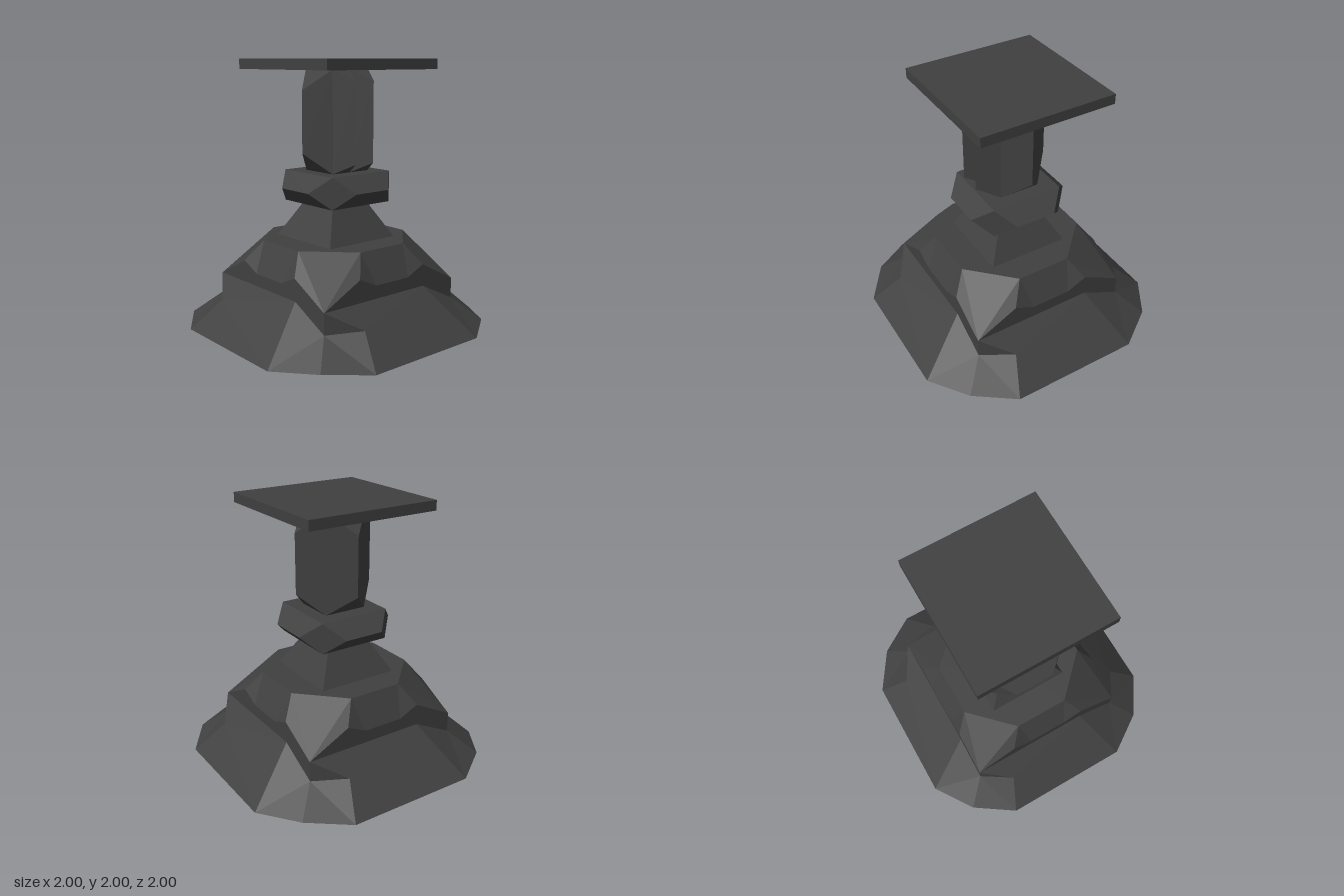
import * as THREE from 'three';
import { ConvexGeometry } from 'three/addons/geometries/ConvexGeometry.js';

const material = new THREE.MeshStandardMaterial({ color: 0x404040, flatShading: true });

// Faceted geometry from polygons, each a loop of [x, y, z] corners
function facets(polygons) {
  const pos = [];
  for (const p of polygons)
    for (let i = 1; i < p.length - 1; i++) pos.push(...p[0], ...p[i], ...p[i + 1]);
  const g = new THREE.BufferGeometry();
  g.setAttribute('position', new THREE.Float32BufferAttribute(pos, 3));
  g.computeVertexNormals();
  return g;
}

// Quarter turn about y, taking the front side to the +x side
const turn = ([x, y, z]) => [z, y, -x];

// Repeat the polygons of the front side on all four sides
function fourSides(polygons) {
  const all = [];
  for (let k = 0; k < 4; k++) {
    all.push(...polygons);
    polygons = polygons.map((p) => p.map(turn));
  }
  return all;
}

// Sloping foot with a chipped notch beside each corner
function footGeometry() {
  const topL = [-0.63, 0.345, 0.63], topR = [0.315, 0.345, 0.63];
  const lowL = [-0.63, 0.19, 0.63], lowR = turn(lowL);
  const chip = [-0.4, 0.21, 0.78], nextChip = turn(chip);
  const a = [-0.5, 0, 1], b = [0.5, 0, 1], c = [0.8, 0.02, 0.8], d = turn(a);
  const mid = [0, 0, 0];
  return facets(fourSides([
    [chip, a, b, topR, topL],
    [lowL, chip, topL],
    [topR, b, lowR],
    [b, c, lowR],
    [lowR, c, d, nextChip],
    [mid, b, a], [mid, c, b], [mid, d, c],
  ]));
}

// Square tier with broken upper corners and a shallow scoop in each side
function tierGeometry() {
  const w = 0.63, t = 0.665;
  const L = [-w, 0.345, w], R = [w, 0.345, w], L0 = [-w, 0.19, w], R0 = [w, 0.19, w];
  const a = [-0.31, 0.51, w], b = [-0.155, 0.44, w], c = [0.155, 0.44, w], d = [0.31, 0.51, w];
  const t1 = [-0.21, t, 0.52], t0 = [0, t, 0.52], t2 = [0.21, t, 0.52], mid = [0, t, 0];
  return facets(fourSides([
    [L, L0, R0, R],
    [L, R, c, b], [L, b, a], [R, d, c],
    [a, b, t1], [c, d, t2], [b, c, t0], [b, t0, t1], [c, t2, t0],
    [R, turn(a), turn(t1), t2, d],
    [t1, t2, mid], [t2, turn(t1), mid],
  ]));
}

// Diamond column: square ends, bevelled corners, a groove down the +x side
function columnGeometry() {
  const lo = 1.17, hi = 1.925;
  // x, z and how far a corner stops short of the ends
  const ring = [
    [0, 0.315, 0.15], [0.16, 0.16, 0], [0.32, 0.08, 0.08], [0.16, 0, 0], [0.32, -0.09, 0.08],
    [0.16, -0.18, 0], [0, -0.34, 0.15], [-0.15, -0.18, 0], [-0.31, -0.01, 0.15], [-0.15, 0.16, 0],
  ];
  const n = ring.length;
  const top = ring.map(([x, z, s]) => [x, hi - s, z]);
  const bottom = ring.map(([x, z, s]) => [x, lo + s, z]);
  const polys = [];
  for (let i = 0; i < n; i++) {
    const j = (i + 1) % n, h = (i + n - 1) % n;
    polys.push([bottom[i], bottom[j], top[j], top[i]]);
    if (ring[i][2] > 0) {
      polys.push([top[h], top[i], top[j]]);
      polys.push([bottom[j], bottom[i], bottom[h]]);
    }
  }
  const flat = (points) => points.filter((_, i) => ring[i][2] === 0);
  polys.push(flat(top), flat(bottom).reverse());
  return facets(polys);
}

// Collar: square above and below, octagon round the middle
function collarGeometry() {
  const pts = [];
  for (const sx of [-1, 1])
    for (const sz of [-1, 1]) {
      for (const y of [0.935, 1.17]) pts.push(new THREE.Vector3(sx * 0.278, y, sz * 0.278));
      pts.push(new THREE.Vector3(sx * 0.155, 1.0525, sz * 0.401));
      pts.push(new THREE.Vector3(sx * 0.401, 1.0525, sz * 0.155));
    }
  return new ConvexGeometry(pts);
}

export function createModel() {
  const model = new THREE.Group();
  const add = (name, geometry, x = 0, y = 0, z = 0) => {
    const mesh = new THREE.Mesh(geometry, material);
    mesh.name = name;
    mesh.position.set(x, y, z);
    model.add(mesh);
  };

  add('foot', footGeometry());
  add('steppedTier', tierGeometry());

  // Square tapering neck
  const neck = new THREE.CylinderGeometry(0.165 * Math.SQRT2, 0.315 * Math.SQRT2, 0.27, 4);
  neck.rotateY(Math.PI / 4);
  add('neck', neck, 0, 0.8, 0);

  add('collar', collarGeometry(), 0.005, 0, -0.01);
  add('column', columnGeometry());
  add('topPlate', new THREE.BoxGeometry(1.03, 0.075, 1.05), 0.005, 1.9625, -0.015);
  return model;
}
